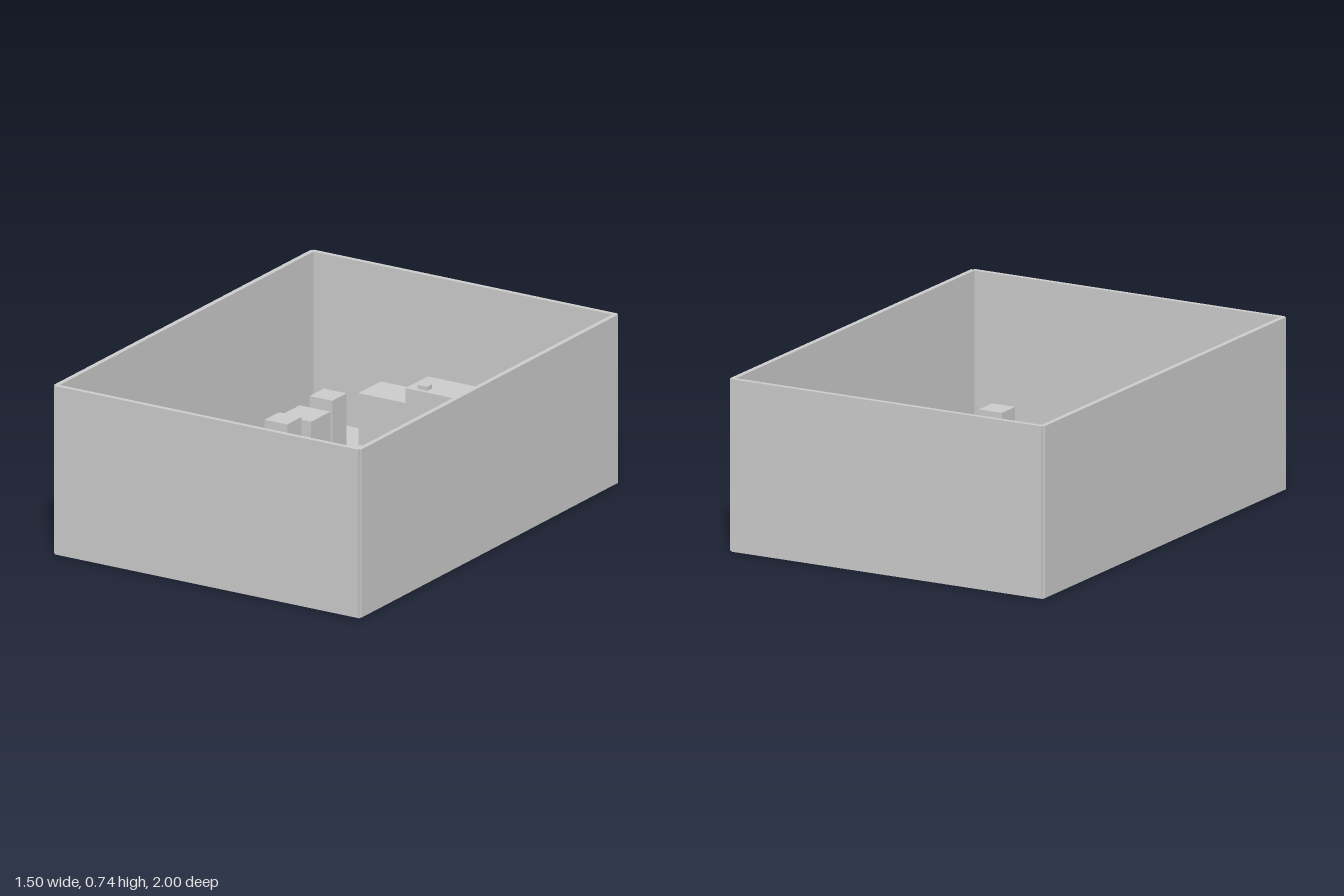
import * as THREE from 'three';

const material = new THREE.MeshStandardMaterial({ color: 0xcccccc, flatShading: true });

export function createModel() {
  const room = new THREE.Group();
  room.name = 'room';

  // Box given by its centre on the floor plan, its size, and its bottom and top
  const block = (name, x, z, width, depth, bottom, top) => {
    const mesh = new THREE.Mesh(new THREE.BoxGeometry(width, top - bottom, depth), material);
    mesh.name = name;
    mesh.position.set(x, (bottom + top) / 2, z);
    room.add(mesh);
  };

  const W = 1.48, D = 1.98, H = 0.74, T = 0.022;
  const floorTop = 0.01;

  // Floor slab and walls standing along its edges, leaving notched corners
  block('floor', 0, 0, W, D, 0, floorTop);
  for (const side of [-1, 1]) {
    block(side < 0 ? 'rightWall' : 'leftWall', side * (0.75 - T / 2), 0, T, D, 0.005, H);
    block(side < 0 ? 'backWall' : 'frontWall', 0, side * (1 - T / 2), W, T, 0.005, H);
  }

  // Furniture mirrored on both sides of the aisle
  for (const side of [-1, 1]) {
    block('partition', side * 0.395, -0.005, 0.595, 0.142, floorTop, 0.23);
    for (const z of [-0.547, 0.59]) block('table', side * 0.495, z, 0.15, 0.148, floorTop, 0.205);
    for (const z of [-0.722, -0.375, 0.762]) block('chair', side * 0.495, z, 0.11, 0.11, floorTop, 0.235);
  }

  // Two-level counter against the back wall with a small box on top
  block('lowCounter', -0.285, -0.893, 0.23, 0.176, floorTop, 0.235);
  block('highCounter', 0.11, -0.893, 0.56, 0.176, floorTop, 0.3);
  block('counterBox', -0.1, -0.842, 0.048, 0.036, 0.3, 0.318);

  return room;
}
